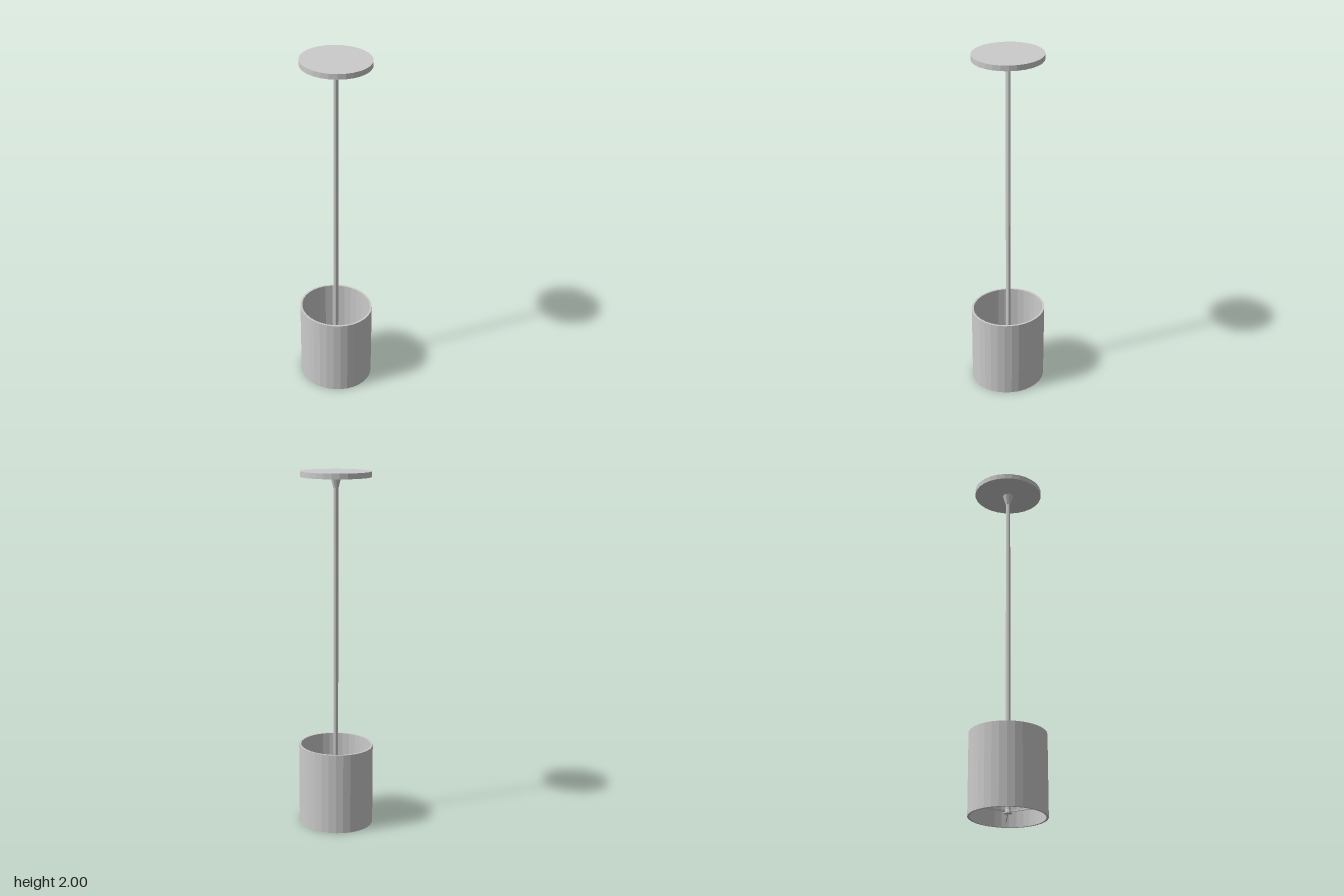
import * as THREE from 'three';

const material = new THREE.MeshStandardMaterial({ color: 0xcccccc, flatShading: true });
const v = (x, y) => new THREE.Vector2(x, y);

export function createModel() {
  const group = new THREE.Group();
  const add = (name, geometry, parent = group) => {
    const mesh = new THREE.Mesh(geometry, material);
    mesh.name = name;
    parent.add(mesh);
    return mesh;
  };

  // Ceiling plate, slightly oval
  const plate = add('ceilingPlate', new THREE.CylinderGeometry(0.19, 0.19, 0.03, 28));
  plate.position.y = 1.985;
  plate.scale.z = 1.04;

  // Flared collar under the plate
  const collar = add('collar', new THREE.CylinderGeometry(0.03, 0.014, 0.06, 10));
  collar.position.y = 1.94;

  // Hanging rod, running down to the hub of the shade
  const rod = add('rod', new THREE.CylinderGeometry(0.015, 0.015, 1.93, 10));
  rod.position.y = 0.985;
  rod.scale.z = 0.8;

  // Drum shade, a thin wall open at the top and bottom
  const wall = [v(0.194, 0), v(0.205, 0), v(0.205, 0.46), v(0.194, 0.46), v(0.194, 0)];
  const shade = add('shade', new THREE.LatheGeometry(wall, 32));
  shade.scale.z = 1.055;

  // Hub and three thin spokes that carry the shade
  const spider = new THREE.Group();
  spider.name = 'shadeSupport';
  spider.position.y = 0.03;
  group.add(spider);
  add('hub', new THREE.CylinderGeometry(0.016, 0.022, 0.02, 10), spider);
  for (const degrees of [30, 150, 270]) {
    const angle = THREE.MathUtils.degToRad(degrees);
    const length = degrees === 270 ? 0.208 : 0.2;
    const spoke = add('spoke', new THREE.BoxGeometry(length, 0.007, 0.007), spider);
    spoke.position.set(Math.cos(angle) * length / 2, 0, Math.sin(angle) * length / 2);
    spoke.rotation.y = -angle;
  }

  return group;
}
